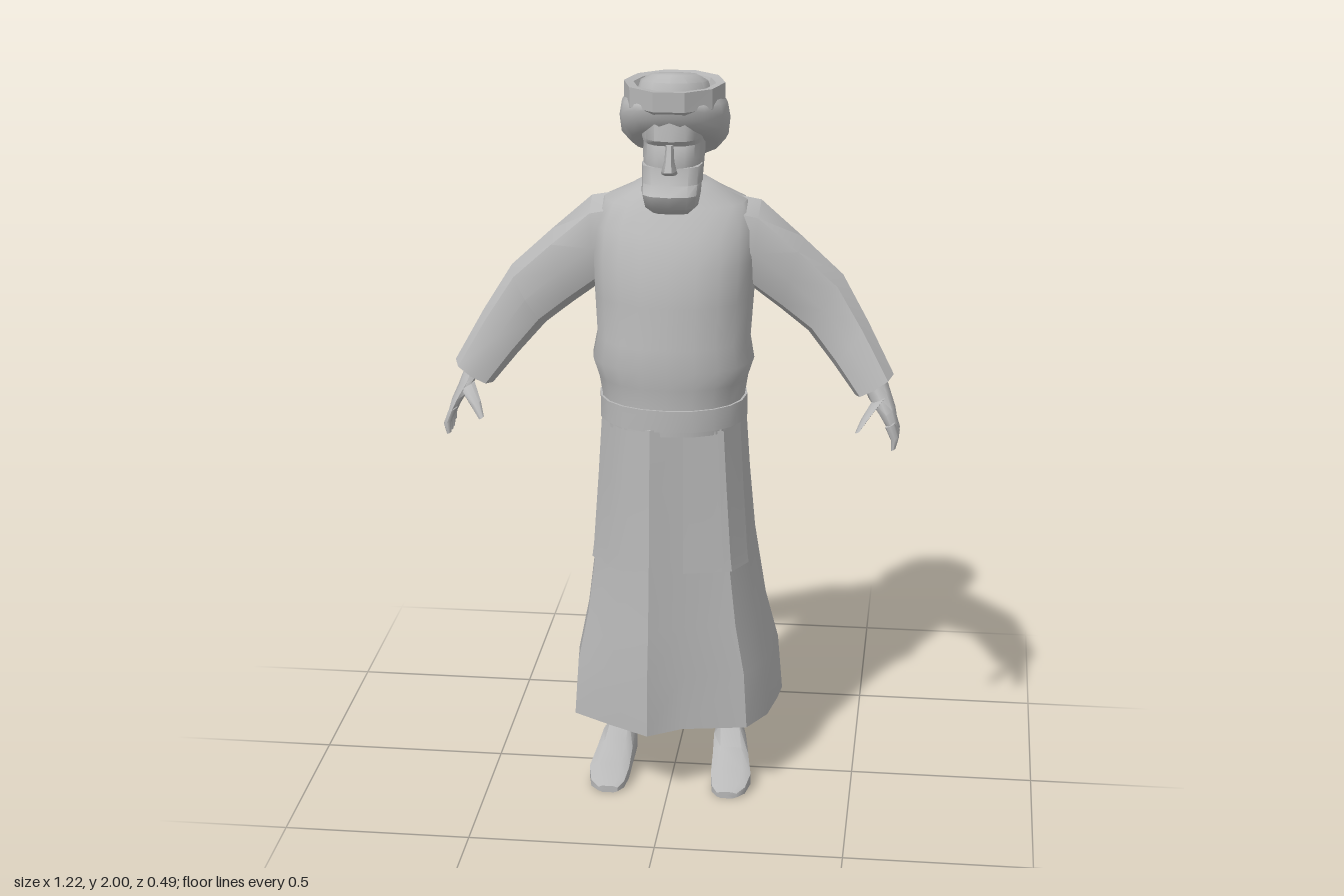
import * as THREE from 'three';
import { toCreasedNormals } from 'three/addons/utils/BufferGeometryUtils.js';

const grey = new THREE.MeshStandardMaterial({ color: 0xb8b8b8, side: THREE.DoubleSide });
grey.name = 'plain grey';
const V = (x, y, z) => new THREE.Vector3(x, y, z);

// Elliptical ring about c with half axes u and v; pow < 1 squares it off
function ring(c, u, v, n = 12, pow = 1, turn = 0) {
  const s = (t) => Math.sign(t) * Math.abs(t) ** pow;
  return Array.from({ length: n }, (_, i) => {
    const a = (i / n) * Math.PI * 2 + turn;
    return c.clone().addScaledVector(u, s(Math.cos(a))).addScaledVector(v, s(Math.sin(a)));
  });
}

// Horizontal ring from its half width, front z and back z; tilt raises the front
function level(y, rx, front, back, n = 16, pow = 1, tilt = 0) {
  const rz = (front - back) / 2;
  return ring(V(0, y, (front + back) / 2), V(rx, 0, 0), V(0, rz * tilt, rz), n, pow);
}

// Closed skin over rings, faced outward
function loft(name, rings, crease = 0.75) {
  const n = rings[0].length, pts = rings.flat(), idx = [];
  rings.slice(1).forEach((_, i) => {
    for (let j = 0; j < n; j++) {
      const a = i * n + j, b = i * n + (j + 1) % n;
      idx.push(a, a + n, b, b, a + n, b + n);
    }
  });
  const mid = (r) => r.reduce((s, p) => s.add(p), V(0, 0, 0)).divideScalar(n);
  const last = (rings.length - 1) * n, c0 = pts.length;
  pts.push(mid(rings[0]), mid(rings[rings.length - 1]));
  for (let j = 0; j < n; j++) {
    const k = (j + 1) % n;
    idx.push(c0, j, k, c0 + 1, last + k, last + j);
  }
  let volume = 0;
  for (let i = 0; i < idx.length; i += 3)
    volume += pts[idx[i]].dot(pts[idx[i + 1]].clone().cross(pts[idx[i + 2]]));
  if (volume < 0) idx.reverse();
  return finish(name, pts, idx, crease);
}

function finish(name, pts, idx, crease) {
  const g = new THREE.BufferGeometry().setFromPoints(pts);
  g.setIndex(idx);
  g.computeVertexNormals();
  const m = new THREE.Mesh(toCreasedNormals(g, crease), grey);
  m.name = name;
  return m;
}

// Skirt plan at waist and hem, as matching [x, z] corners
const WAIST = [[0.19, -0.03], [0.185, 0.06], [0.14, 0.15], [0.04, 0.175], [-0.045, 0.205], [-0.12, 0.165],
  [-0.18, 0.08], [-0.19, 0], [-0.185, -0.07], [-0.13, -0.12], [0, -0.13], [0.06, -0.145], [0.14, -0.12], [0.182, -0.08]];
const HEM = [[0.285, -0.04], [0.265, 0.07], [0.215, 0.16], [0.04, 0.19], [-0.05, 0.247], [-0.16, 0.185],
  [-0.265, 0.12], [-0.275, 0.03], [-0.265, -0.11], [-0.2, -0.212], [-0.01, -0.2], [0.055, -0.245], [0.25, -0.165], [0.293, -0.11]];
const FLARE = [[0.2, 1], [0.36, 0.88], [0.5, 0.56], [0.7, 0.28], [0.9, 0.12], [1.07, 0]];

function skirtRing(y) {
  const i = Math.max(1, FLARE.findIndex((f) => f[0] >= y));
  const [[y0, t0], [y1, t1]] = [FLARE[i - 1], FLARE[i]];
  const t = THREE.MathUtils.mapLinear(y, y0, y1, t0, t1);
  return WAIST.map(([x, z], j) => V(x + (HEM[j][0] - x) * t, y, z + (HEM[j][1] - z) * t));
}

// Thin cloth panel hung on the skirt between two places along its plan
function panel(name, from, to) {
  const pts = [], idx = [], ys = [0.66, 0.7, 0.9, 1.06], cols = 6;
  ys.forEach((y) => {
    const r = skirtRing(y);
    for (let k = 0; k <= cols; k++) {
      const s = from + ((to - from) * k) / cols, j = Math.min(Math.floor(s), r.length - 2);
      const p = r[j].clone().lerp(r[j + 1], s - j);
      pts.push(p.add(V(p.x, 0, p.z).setLength(0.008)));
    }
  });
  for (let i = 0; i < ys.length - 1; i++) for (let k = 0; k < cols; k++) {
    const a = i * (cols + 1) + k, b = a + cols + 1;
    idx.push(a, b, a + 1, a + 1, b, b + 1);
  }
  return finish(name, pts, idx, 0.75);
}

function makeArm(s) {
  const g = new THREE.Group();
  g.name = s > 0 ? 'leftArm' : 'rightArm';
  // Sleeve: upper x, y, lower x, y, depth centre, half depth
  const sleeve = [[0.13, 1.66, 0.12, 1.43, -0.03, 0.1], [0.225, 1.642, 0.206, 1.4, -0.035, 0.1],
    [0.335, 1.545, 0.28, 1.345, -0.035, 0.083], [0.444, 1.444, 0.354, 1.286, -0.035, 0.07],
    [0.515, 1.33, 0.425, 1.21, 0.01, 0.058], [0.587, 1.2, 0.487, 1.138, 0.052, 0.055]];
  g.add(loft('sleeve', sleeve.map(([a, b, c, d, z, rz]) =>
    ring(V(s * (a + c) / 2, (b + d) / 2, z), V(s * (a - c) / 2, (b - d) / 2, 0), V(0, 0, rz), 8, 0.9))));
  // Hand parts as paths of x, y, z, half thickness, half breadth
  const limb = (name, path) => g.add(loft(name, path.map(([x, y, z, t, b]) =>
    ring(V(s * x, y, z), V(t, t * 0.5, 0), V(0, 0, b), 8)), 1));
  limb('palm', [[0.53, 1.2, 0.05, 0.03, 0.03], [0.55, 1.15, 0.065, 0.028, 0.034],
    [0.572, 1.11, 0.08, 0.022, 0.05], [0.588, 1.075, 0.092, 0.014, 0.052]]);
  for (let i = 0; i < 4; i++) {
    const z = 0.054 + i * 0.026, drop = i === 0 ? 0.012 : 0;
    limb('finger', [[0.583, 1.085, z, 0.013, 0.014], [0.597, 1.05, z + 0.004, 0.011, 0.012],
      [0.593, 1.02 + drop, z + 0.008, 0.006, 0.007]]);
  }
  limb('thumb', [[0.55, 1.14, 0.09, 0.02, 0.022], [0.52, 1.105, 0.135, 0.014, 0.016],
    [0.5, 1.075, 0.165, 0.007, 0.01]]);
  return g;
}

function makeLeg(s) {
  const g = new THREE.Group();
  g.name = s > 0 ? 'leftLeg' : 'rightLeg';
  g.add(loft('shin', [[0.05, 0.038, -0.035, 0.043], [0.12, 0.034, -0.037, 0.042], [0.2, 0.038, -0.037, 0.044],
    [0.35, 0.045, -0.03, 0.05]].map(([y, rx, z, rz]) => ring(V(s * 0.153, y, z), V(rx, 0, 0), V(0, 0, rz), 10))));
  // Foot slices from heel to toe: z, x, half width, height
  const foot = [[-0.08, 0.15, 0.034, 0.07], [-0.04, 0.152, 0.042, 0.13], [0.005, 0.156, 0.047, 0.13],
    [0.06, 0.163, 0.052, 0.09], [0.13, 0.17, 0.058, 0.055], [0.18, 0.168, 0.048, 0.034], [0.2, 0.165, 0.028, 0.02]];
  g.add(loft('foot', foot.map(([z, x, w, h]) =>
    ring(V(s * x, h / 2, z), V(w, 0, 0), V(0, h / 2, 0), 8, 0.6, Math.PI / 8))));
  return g;
}

function makeHead() {
  const g = new THREE.Group();
  g.name = 'head';
  g.add(loft('face', [[1.66, 0.065, 0.1, -0.09], [1.72, 0.075, 0.125, -0.1], [1.78, 0.08, 0.135, -0.11],
    [1.815, 0.08, 0.122, -0.11], [1.83, 0.082, 0.138, -0.11], [1.9, 0.08, 0.13, -0.1]].map(([y, ...r]) => level(y, ...r, 16, 0.75))));
  g.add(loft('beard', [[1.635, 0.05, 0.12, 0.05], [1.655, 0.07, 0.15, 0.03], [1.69, 0.077, 0.165, 0.02],
    [1.715, 0.078, 0.14, 0.01], [1.76, 0.079, 0.13, 0]].map(([y, ...r]) => level(y, ...r, 12, 0.7))));
  g.add(loft('nose', [[1.742, 0.022, 0.14, 0.11], [1.755, 0.02, 0.17, 0.11], [1.78, 0.013, 0.158, 0.11],
    [1.82, 0.01, 0.14, 0.11]].map(([y, ...r]) => level(y, ...r, 6))));
  // Wrapped cloth dips toward the nape
  g.add(loft('turbanWrap', [[1.8, 0.085, 0.1, -0.1, 0.5], [1.8, 0.115, 0.13, -0.115, 0.52], [1.825, 0.14, 0.14, -0.138, 0.48],
    [1.87, 0.145, 0.15, -0.143, 0.3], [1.91, 0.138, 0.15, -0.138, 0.1], [1.94, 0.12, 0.13, -0.12, 0]]
    .map(([y, rx, f, b, t]) => level(y, rx, f, b, 14, 1, t)), 0.9));
  g.add(loft('turbanBand', [[1.9, 0.125, 0.145, -0.125], [1.91, 0.132, 0.158, -0.134], [1.962, 0.132, 0.16, -0.135],
    [1.958, 0.108, 0.125, -0.112], [1.942, 0.1, 0.115, -0.105]].map(([y, ...r]) => level(y, ...r, 10)), 0.5));
  g.add(loft('turbanCrown', [[1.93, 0.1, 0.125, -0.1, 0.1], [1.965, 0.088, 0.115, -0.09, 0.12],
    [1.982, 0.06, 0.095, -0.06, 0.15], [1.987, 0.03, 0.08, -0.02, 0.18]].map(([y, rx, f, b, t]) => level(y, rx, f, b, 12, 1, t))));
  return g;
}

export function createModel() {
  const model = new THREE.Group();
  model.name = 'robedMan';
  // Upper robe: height, half width, front, back
  const torso = [[1.05, 0.188, 0.198, -0.138], [1.13, 0.192, 0.2, -0.138], [1.18, 0.2, 0.203, -0.13], [1.23, 0.216, 0.21, -0.135],
    [1.29, 0.205, 0.203, -0.145], [1.4, 0.212, 0.193, -0.155], [1.5, 0.217, 0.18, -0.158], [1.58, 0.215, 0.14, -0.155],
    [1.645, 0.19, 0.1, -0.14], [1.675, 0.125, 0.08, -0.12], [1.695, 0.09, 0.07, -0.105]];
  model.add(loft('robeTop', torso.map(([y, ...r]) => level(y, ...r, 20, 0.92))));
  model.add(loft('belt', [[1.065, 0.198, 0.205, -0.145], [1.125, 0.198, 0.206, -0.145]].map(([y, ...r]) => level(y, ...r, 20, 0.92))));
  model.add(loft('neck', [level(1.62, 0.075, 0.06, -0.1), level(1.75, 0.07, 0.06, -0.095)]));
  model.add(loft('skirt', FLARE.map(([y]) => skirtRing(y)), 0.6));
  model.add(panel('rightFrontPanel', 4, 6.1));
  model.add(panel('leftFrontPanel', 2.2, 3));
  model.add(panel('leftSidePanel', 1.2, 2.15));
  model.add(makeHead());
  for (const s of [1, -1]) model.add(makeArm(s), makeLeg(s));
  return model;
}
